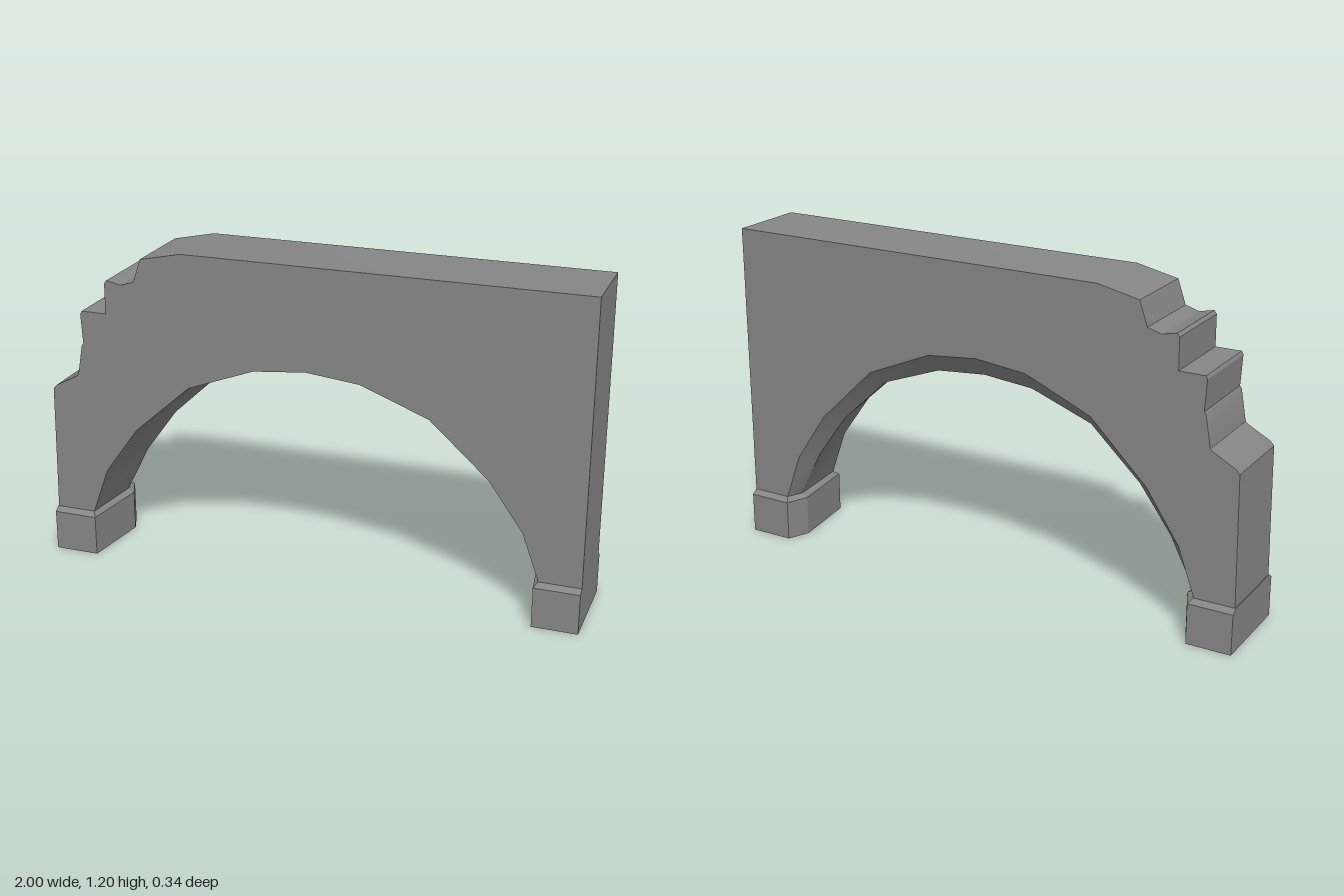
import * as THREE from 'three';
import { toCreasedNormals } from 'three/addons/utils/BufferGeometryUtils.js';
import { ConvexGeometry } from 'three/addons/geometries/ConvexGeometry.js';

const HALF_DEPTH = 0.148; // wall
const RIDGE_Z = -0.09; // off-centre ridge under the arch
const PLINTH_TOP = 0.165;

// Half of the arch, springing to crown: front edge x, y, ridge x, y and back edge y
const HALF_ARCH = [
  [0.848, PLINTH_TOP, 0.822, PLINTH_TOP, PLINTH_TOP],
  [0.785, 0.34, 0.73, 0.345, 0.34],
  [0.66, 0.515, 0.61, 0.51, 0.527],
  [0.445, 0.708, 0.42, 0.688, 0.738],
  [0.195, 0.803, 0.19, 0.773, 0.845],
  [0, 0.823, 0, 0.79, 0.865],
];

// Broken end of the wall, from the top down
const BROKEN_END = [
  [-0.46, 1.2], [-0.615, 1.167], [-0.645, 1.08], [-0.695, 1.065], [-0.75, 1.077],
  [-0.759, 1.065], [-0.76, 0.952], [-0.855, 0.952], [-0.861, 0.94], [-0.855, 0.83],
  [-0.862, 0.82], [-0.882, 0.708], [-0.89, 0.7], [-0.975, 0.655], [-0.988, 0.64],
  [-0.997, PLINTH_TOP],
];

function createWall(material) {
  const mirrored = HALF_ARCH.slice(0, -1).map(([x, y, rx, ry, by]) => [-x, y, -rx, ry, by]);
  const arch = [...mirrored, ...[...HALF_ARCH].reverse()]; // from -x to +x
  const outline = [...arch, [1, PLINTH_TOP], [1, 1.2], ...BROKEN_END];
  const shape = new THREE.Shape(outline.map(([x, y]) => new THREE.Vector2(x, y)));

  const geometry = new THREE.ExtrudeGeometry(shape, {
    depth: HALF_DEPTH * 2, steps: 2, bevelEnabled: false,
  });
  geometry.translate(0, 0, -HALF_DEPTH);

  // Shift the middle layer to the ridge, pull its arch points inwards
  // and raise the arch points of the back layer
  const position = geometry.attributes.position;
  for (let i = 0; i < position.count; i++) {
    const x = position.getX(i), y = position.getY(i), z = position.getZ(i);
    if (z > 0.01) continue;
    const isMiddle = z > -0.01;
    const point = arch.find((p) => Math.hypot(p[0] - x, p[1] - y) < 1e-4);
    if (isMiddle) position.setZ(i, RIDGE_Z);
    if (point && isMiddle) position.setXY(i, point[2], point[3]);
    else if (point) position.setY(i, point[4]);
  }
  const wall = new THREE.Mesh(toCreasedNormals(geometry, 0.5), material);
  wall.name = 'archWall';
  return wall;
}

function createPlinth(side, material) {
  // Each level: height, half depth, inner corner x, ridge x
  const levels = [
    [0, 0.17, 0.835, 0.8],
    [0.15, 0.17, 0.835, 0.8],
    [PLINTH_TOP, HALF_DEPTH, 0.848, 0.822],
  ];
  const points = [];
  for (const [y, z, corner, ridge] of levels) {
    for (const s of [-1, 1]) {
      points.push(new THREE.Vector3(side, y, s * z));
      points.push(new THREE.Vector3(side * corner, y, s * z));
    }
    points.push(new THREE.Vector3(side * ridge, y, RIDGE_Z));
  }
  const plinth = new THREE.Mesh(new ConvexGeometry(points), material);
  plinth.name = side > 0 ? 'leftPlinth' : 'rightPlinth';
  return plinth;
}

export function createModel() {
  const material = new THREE.MeshStandardMaterial({ color: 0x868686 });
  const model = new THREE.Group();
  model.name = 'brokenArch';
  model.add(createWall(material), createPlinth(1, material), createPlinth(-1, material));
  return model;
}
